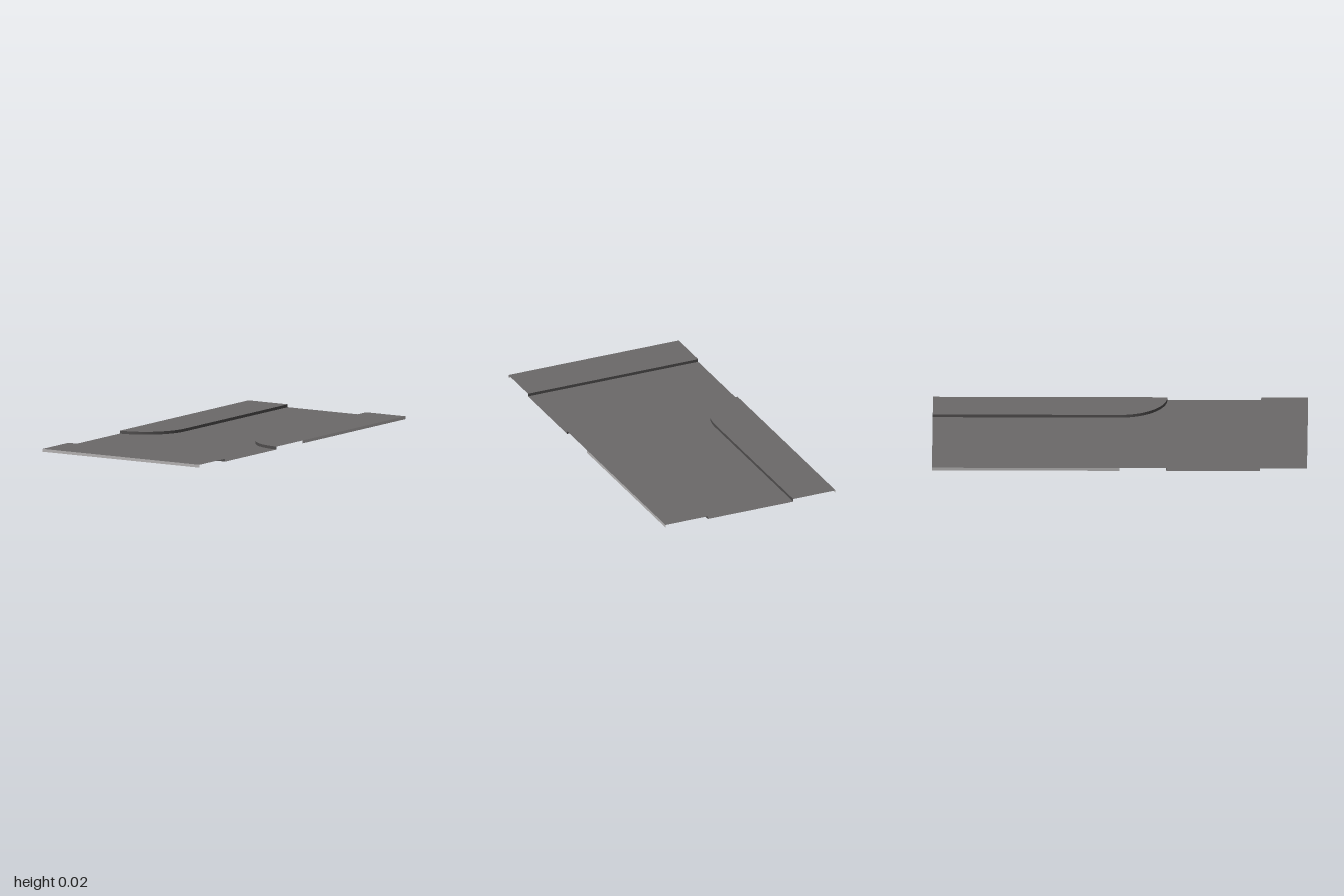
import * as THREE from 'three';

const H = 0.0156; // kerb height

function material(name, color) {
  const m = new THREE.MeshStandardMaterial({ color, side: THREE.DoubleSide });
  m.name = name;
  return m;
}

// Flat horizontal sheet from [x, z] points
function sheet(points, y) {
  const shape = new THREE.Shape(points.map(([x, z]) => new THREE.Vector2(x, -z)));
  return new THREE.ShapeGeometry(shape).rotateX(-Math.PI / 2).translate(0, y, 0);
}

// Upright strip along [x, z] points; facing left of the +z direction is -x
function strip(points) {
  const pos = [], index = [];
  points.forEach(([x, z], i) => {
    pos.push(x, 0, z, x, H, z);
    if (i) {
      const a = 2 * (i - 1);
      index.push(a, a + 2, a + 1, a + 2, a + 3, a + 1);
    }
  });
  const g = new THREE.BufferGeometry();
  g.setAttribute('position', new THREE.Float32BufferAttribute(pos, 3));
  g.setIndex(index);
  g.computeVertexNormals();
  return g;
}

export function createModel() {
  const group = new THREE.Group();
  const asphalt = material('asphalt grey', 0x6b6969);
  const kerbGrey = material('kerb dark grey', 0x4e4c4c);
  const edgeGrey = material('edge light grey', 0xb3b1b1);

  const add = (name, geometry, mat) => {
    const mesh = new THREE.Mesh(geometry, mat);
    mesh.name = name;
    group.add(mesh);
  };

  // Kerb line on the +x side: straight run, then a quarter turn outwards
  const kerb = [[0.25, -1]];
  const steps = 16;
  for (let i = 0; i <= steps; i++) {
    const a = (i / steps) * Math.PI / 2;
    kerb.push([0.5 - 0.25 * Math.cos(a), 0.25 * Math.sin(a)]);
  }
  const mirrored = kerb.map(([x, z]) => [-x, z]).reverse();

  // Road surface between the pavements
  add('road', sheet([...kerb, [0.5, 0.75], [-0.5, 0.75], ...mirrored], 0), asphalt);

  // Corner pavements with their kerbs and outer edges
  add('leftPavement', sheet([...kerb, [0.5, -1]], H), asphalt);
  add('rightPavement', sheet([...mirrored, [-0.5, -1]], H), asphalt);
  add('leftKerb', strip(kerb), kerbGrey);
  add('rightKerb', strip(mirrored), kerbGrey);
  add('leftOuterEdge', strip([[0.5, 0], [0.5, -1]]), edgeGrey);
  add('rightOuterEdge', strip([[-0.5, -1], [-0.5, 0]]), edgeGrey);

  // Straight pavement across the front
  add('frontPavement', sheet([[-0.5, 0.75], [0.5, 0.75], [0.5, 1], [-0.5, 1]], H), asphalt);
  add('frontKerb', strip([[0.5, 0.75], [-0.5, 0.75]]), kerbGrey);
  add('frontOuterEdge', strip([[-0.5, 1], [0.5, 1]]), edgeGrey);

  return group;
}
